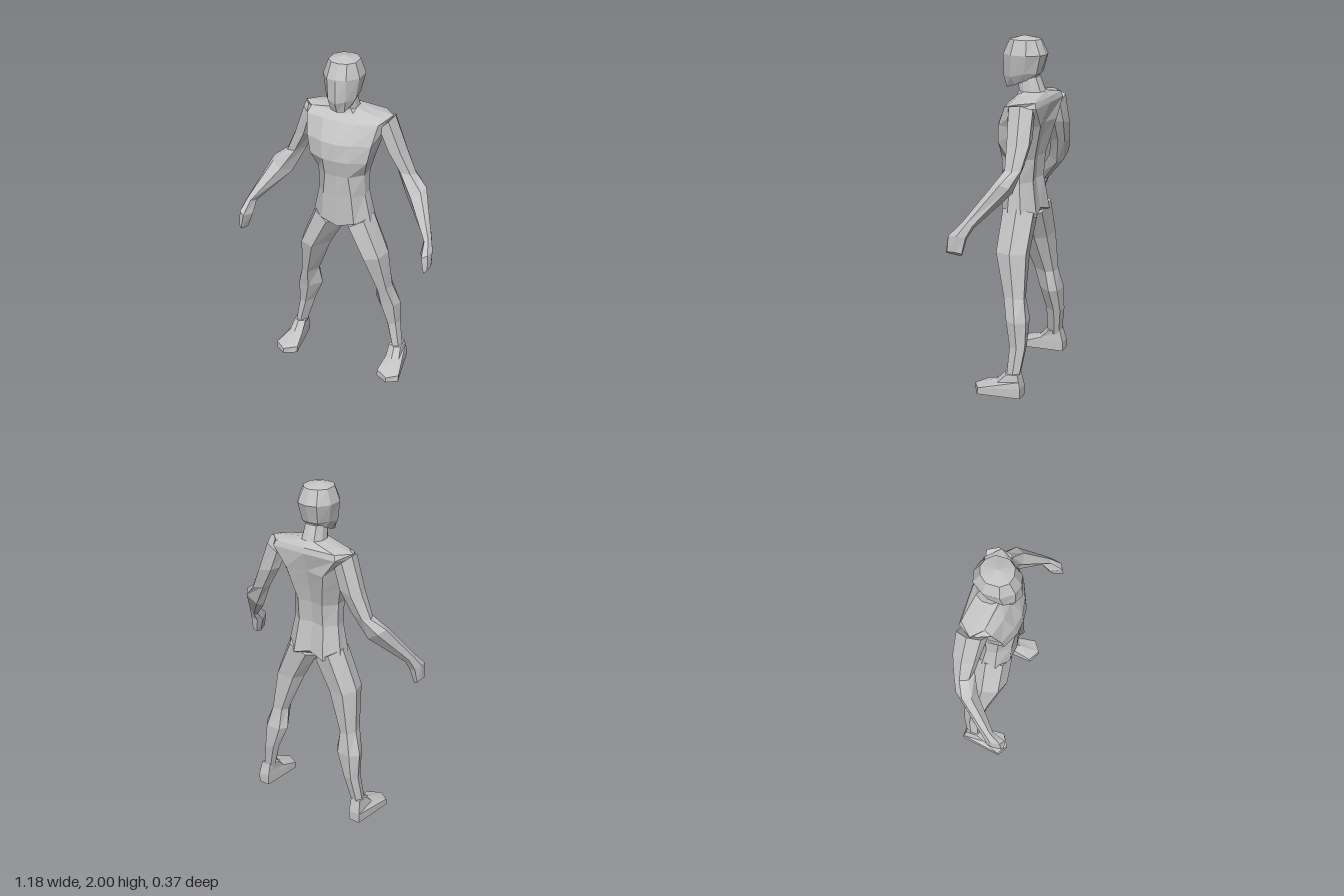
import * as THREE from 'three';

const skin = new THREE.MeshStandardMaterial({ color: 0xc4c4c4, flatShading: true });
skin.name = 'grey';

// Skin a list of equal-length rings; ends close to an apex (default: ring centre)
function loft(name, rings, startApex, endApex) {
  const pos = [];
  const tri = (a, b, c) => pos.push(...a, ...b, ...c);
  const n = rings[0].length;
  const centre = r => [0, 1, 2].map(k => r.reduce((s, p) => s + p[k], 0) / n);
  const last = rings[rings.length - 1];
  const start = startApex || centre(rings[0]);
  const end = endApex || centre(last);
  for (let j = 0; j < n; j++) {
    const k = (j + 1) % n;
    for (let i = 0; i < rings.length - 1; i++) {
      const [a, b, c, d] = [rings[i][j], rings[i][k], rings[i + 1][k], rings[i + 1][j]];
      tri(a, b, c);
      tri(a, c, d);
    }
    tri(start, rings[0][k], rings[0][j]);
    tri(end, last[j], last[k]);
  }
  const g = new THREE.BufferGeometry();
  g.setAttribute('position', new THREE.Float32BufferAttribute(pos, 3));
  g.computeVertexNormals();
  const mesh = new THREE.Mesh(g, skin);
  mesh.name = name;
  return mesh;
}

// Half ring of [x, z, y?] from front centre to back centre, mirrored to a full ring
function symmetric(y, half) {
  const pts = half.map(([x, z, py]) => [x, py ?? y, z]);
  const other = pts.slice(1, -1).reverse().map(([x, py, z]) => [-x, py, z]);
  return [...pts, ...other];
}

// Six-sided limb section between an inner and an outer edge point
const section = [[0.85, 0.85], [0.4, 1], [0, 0.4], [0.2, 0.08], [0.75, 0], [1, 0.4]];
function limbRing([ax, ay, bx, by, front, back]) {
  return section.map(([u, w]) => [ax + (bx - ax) * u, ay + (by - ay) * u, back + (front - back) * w]);
}

// Mirror rings to the right side, reversing them to keep faces outward
function sided(rings, side) {
  return side > 0 ? rings : rings.map(r => r.map(([x, y, z]) => [-x, y, z]).reverse());
}

export function createModel() {
  const group = new THREE.Group();
  group.name = 'figure';

  // Torso, shoulders and neck
  group.add(loft('torso', [
    symmetric(1.03, [[0, 0.075, 1.0], [0.1, 0.065], [0.175, 0], [0.175, -0.08], [0.1, -0.145, 1.0], [0, -0.13]]),
    symmetric(1.2, [[0, 0.08], [0.085, 0.07], [0.14, 0], [0.145, -0.06], [0.08, -0.115], [0, -0.1]]),
    symmetric(1.33, [[0, 0.085], [0.07, 0.08], [0.14, 0.01], [0.145, -0.06], [0.08, -0.125], [0, -0.11]]),
    symmetric(1.43, [[0, 0.107], [0.075, 0.1], [0.17, 0.055], [0.17, -0.08], [0.1, -0.15], [0, -0.13]]),
    symmetric(1.53, [[0, 0.1], [0.09, 0.085], [0.19, 0.045], [0.2, -0.1], [0.12, -0.175], [0, -0.155]]),
    symmetric(1.64, [[0, 0.035], [0.1, 0.03], [0.21, 0], [0.25, -0.1], [0.2, -0.18], [0, -0.183]]),
    symmetric(1.67, [[0, 0, 1.68], [0.06, -0.01, 1.68], [0.2, -0.04], [0.26, -0.1], [0.19, -0.17], [0, -0.175]]),
    symmetric(1.7, [[0, -0.01], [0.045, -0.015], [0.065, -0.05], [0.065, -0.1], [0.04, -0.14], [0, -0.15]]),
    symmetric(1.78, [[0, 0], [0.035, -0.005], [0.055, -0.04], [0.055, -0.075], [0.035, -0.11], [0, -0.115]]),
  ], [0, 0.965, -0.03]));

  // Head, from the jaw up to the crown
  group.add(loft('head', [
    symmetric(1.71, [[0, 0.07], [0.04, 0.06, 1.715], [0.06, 0, 1.735], [0.06, -0.06, 1.76], [0.04, -0.1, 1.78], [0, -0.11, 1.785]]),
    symmetric(1.8, [[0, 0.095, 1.77], [0.05, 0.075, 1.78], [0.085, 0.02, 1.78], [0.085, -0.06], [0.05, -0.12], [0, -0.13]]),
    symmetric(1.9, [[0, 0.088], [0.055, 0.075], [0.105, 0.01], [0.105, -0.08], [0.06, -0.145], [0, -0.16]]),
    symmetric(1.98, [[0, 0.05], [0.045, 0.04], [0.078, 0], [0.078, -0.07], [0.045, -0.11], [0, -0.125]]),
  ], null, [0, 2, -0.03]));

  const arm = [
    [0.17, 1.58, 0.265, 1.665, -0.02, -0.18],
    [0.2, 1.49, 0.34, 1.46, -0.04, -0.185],
    [0.275, 1.36, 0.395, 1.335, -0.06, -0.165],
    [0.355, 1.2, 0.47, 1.28, -0.02, -0.13],
    [0.52, 1.04, 0.56, 1.08, 0.11, 0.03],
  ].map(limbRing);

  const hand = [
    [0.52, 1.04, 0.56, 1.08, 0.11, 0.03],
    [0.52, 0.98, 0.588, 1.01, 0.18, 0.065],
    [0.55, 0.89, 0.588, 0.92, 0.185, 0.085],
  ].map(limbRing);

  const leg = [
    [0.0, 0.97, 0.175, 1.06, 0.07, -0.14],
    [0.095, 0.8, 0.27, 0.82, 0.07, -0.135],
    [0.19, 0.56, 0.29, 0.57, 0, -0.14],
    [0.18, 0.44, 0.335, 0.44, -0.03, -0.165],
    [0.24, 0.29, 0.335, 0.29, -0.06, -0.165],
    [0.29, 0.11, 0.36, 0.11, -0.055, -0.14],
  ].map(limbRing);

  // Foot outlines stacked from sole to ankle
  const foot = [
    [[0.345, 0, 0.13], [0.41, 0, 0.09], [0.37, 0, -0.16], [0.3, 0, -0.16], [0.27, 0, 0.09]],
    [[0.345, 0.035, 0.13], [0.41, 0.04, 0.085], [0.37, 0.06, -0.16], [0.3, 0.06, -0.16], [0.27, 0.04, 0.085]],
    [[0.33, 0.08, 0], [0.37, 0.075, -0.02], [0.365, 0.1, -0.15], [0.3, 0.1, -0.15], [0.285, 0.075, -0.02]],
    [[0.325, 0.135, -0.05], [0.36, 0.13, -0.07], [0.36, 0.14, -0.14], [0.3, 0.14, -0.14], [0.285, 0.13, -0.07]],
  ];

  // Limbs on both sides
  for (const [side, label] of [[1, 'left'], [-1, 'right']]) {
    for (const [part, rings] of Object.entries({ Arm: arm, Hand: hand, Leg: leg, Foot: foot })) {
      group.add(loft(label + part, sided(rings, side)));
    }
  }
  return group;
}
